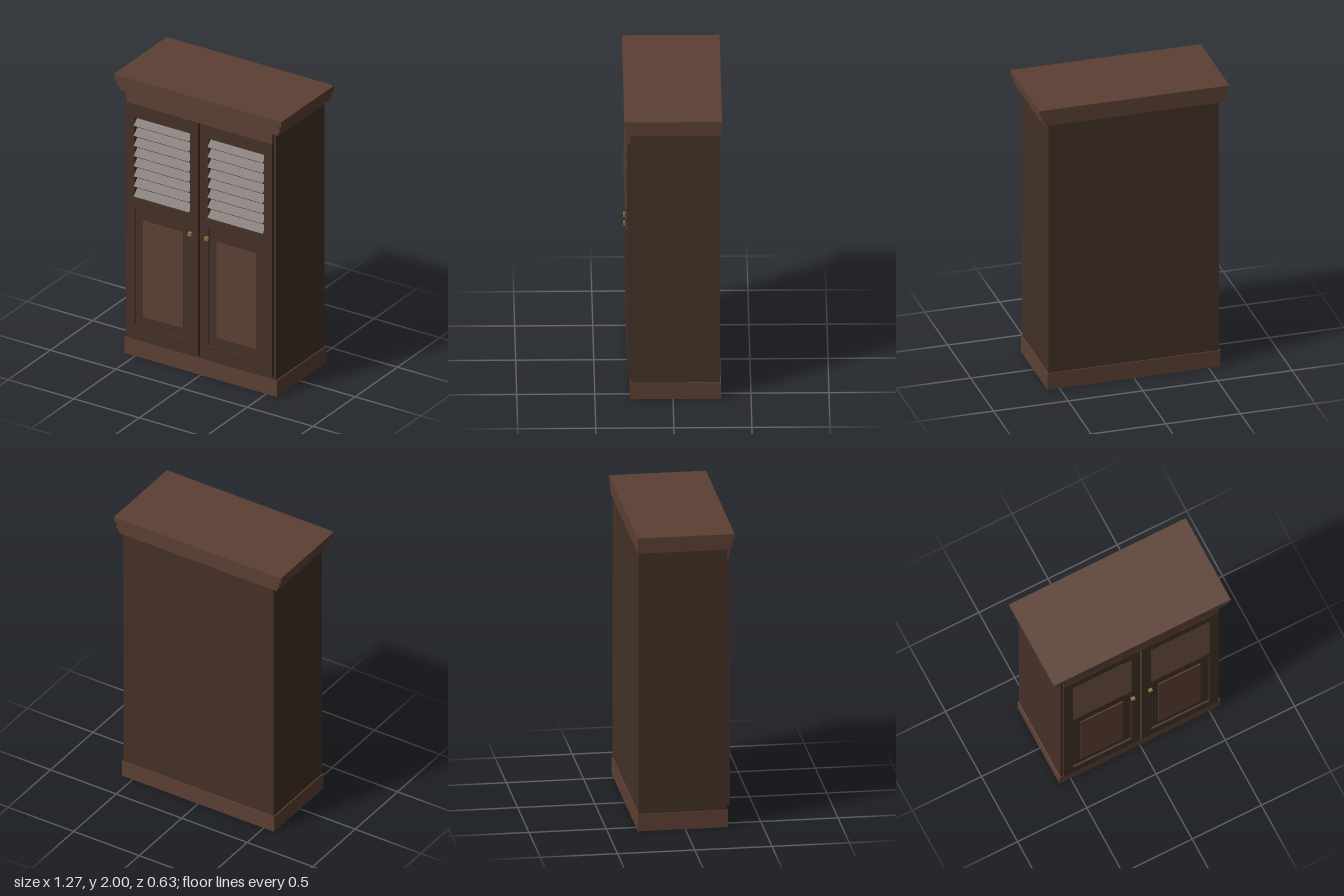
import * as THREE from 'three';

const wood = new THREE.MeshStandardMaterial({ color: 0x5c4033 });
const darkWood = new THREE.MeshStandardMaterial({ color: 0x443127 });
const brass = new THREE.MeshStandardMaterial({ color: 0x8a7440 });
const blueCloth = new THREE.MeshStandardMaterial({ color: 0x2f3b4a });
const brownCloth = new THREE.MeshStandardMaterial({ color: 0x3a2c26 });

// Box given by its low and high limits on each axis
function slab(parent, name, material, [x0, x1], [y0, y1], [z0, z1]) {
  const mesh = new THREE.Mesh(new THREE.BoxGeometry(x1 - x0, y1 - y0, z1 - z0), material);
  mesh.position.set((x0 + x1) / 2, (y0 + y1) / 2, (z0 + z1) / 2);
  mesh.name = name;
  parent.add(mesh);
  return mesh;
}

function rectPath(path, x0, x1, y0, y1) {
  path.moveTo(x0, y0);
  path.lineTo(x1, y0);
  path.lineTo(x1, y1);
  path.lineTo(x0, y1);
  path.closePath();
  return path;
}

// One door on the side given by s (+1 or -1)
function createDoor(s) {
  const door = new THREE.Group();
  door.name = s > 0 ? 'leftDoor' : 'rightDoor';
  const span = (a, b) => (s > 0 ? [a, b] : [-b, -a]);
  const [o0, o1] = span(0.07, 0.492);

  // Frame with an opening for the louvres and one for the panel
  const outline = rectPath(new THREE.Shape(), ...span(0.008, 0.555), 0.14, 1.812);
  outline.holes.push(rectPath(new THREE.Path(), o0, o1, 1.14, 1.72));
  outline.holes.push(rectPath(new THREE.Path(), o0, o1, 0.235, 1.07));
  const frame = new THREE.Mesh(
    new THREE.ExtrudeGeometry(outline, { depth: 0.022, bevelEnabled: false }), darkWood);
  frame.position.z = 0.27;
  frame.name = 'doorFrame';
  door.add(frame);

  // Recessed panel with a raised field
  slab(door, 'recessedPanel', darkWood, [o0, o1], [0.235, 1.07], [0.268, 0.28]);
  slab(door, 'raisedField', wood, span(0.128, 0.432), [0.305, 0.99], [0.28, 0.287]);

  // Slanted louvre slats, low edge to the front
  for (let i = 0; i < 8; i++) {
    const slat = new THREE.Mesh(new THREE.BoxGeometry(o1 - o0, 0.009, 0.062), darkWood);
    slat.position.set((o0 + o1) / 2, 1.684 - i * 0.0725, 0.279);
    slat.rotation.x = 0.8;
    slat.name = 'louvreSlat';
    door.add(slat);
  }

  slab(door, 'knob', brass, span(0.05, 0.075), [0.993, 1.017], [0.29, 0.312]);
  return door;
}

// Garment on the rail: a shouldered outline, thin across x
function createGarment(x, width, bottom, material) {
  const shape = new THREE.Shape();
  shape.moveTo(-0.2, bottom);
  shape.lineTo(0.2, bottom);
  shape.lineTo(0.18, 1.58);
  shape.lineTo(0.04, 1.67);
  shape.lineTo(-0.04, 1.67);
  shape.lineTo(-0.18, 1.58);
  shape.closePath();
  const cloth = new THREE.Mesh(
    new THREE.ExtrudeGeometry(shape, { depth: width, bevelEnabled: false }), material);
  cloth.rotation.y = Math.PI / 2;
  cloth.position.x = x - width / 2;
  cloth.name = 'garment';
  return cloth;
}

export function createModel() {
  const wardrobe = new THREE.Group();
  wardrobe.name = 'wardrobe';

  // Carcass
  slab(wardrobe, 'plinth', wood, [-0.58, 0.58], [0, 0.115], [-0.307, 0.275]);
  slab(wardrobe, 'floor', darkWood, [-0.555, 0.555], [0.115, 0.135], [-0.3, 0.27]);
  slab(wardrobe, 'back', darkWood, [-0.555, 0.555], [0.135, 1.885], [-0.302, -0.285]);
  slab(wardrobe, 'rightSide', darkWood, [-0.572, -0.555], [0.115, 1.885], [-0.302, 0.272]);
  slab(wardrobe, 'leftSide', darkWood, [0.555, 0.572], [0.115, 1.885], [-0.302, 0.272]);
  slab(wardrobe, 'frieze', wood, [-0.555, 0.555], [1.812, 1.885], [0.265, 0.29]);

  // Stepped crown
  const tiers = [
    [0.602, 1.885, 1.915, -0.309, 0.292],
    [0.62, 1.915, 1.962, -0.312, 0.303],
    [0.637, 1.962, 2, -0.314, 0.312],
  ];
  for (const [x, y0, y1, z0, z1] of tiers)
    slab(wardrobe, 'crownTier', wood, [-x, x], [y0, y1], [z0, z1]);

  for (const s of [1, -1]) wardrobe.add(createDoor(s));

  // Hanging rail and clothes inside
  const rail = new THREE.Mesh(new THREE.CylinderGeometry(0.01, 0.01, 1.11, 12), brass);
  rail.rotation.z = Math.PI / 2;
  rail.position.y = 1.715;
  rail.name = 'hangingRail';
  wardrobe.add(rail);
  wardrobe.add(
    createGarment(-0.415, 0.08, 0.75, blueCloth),
    createGarment(-0.335, 0.05, 0.85, brownCloth),
    createGarment(0.385, 0.06, 0.8, blueCloth));

  return wardrobe;
}
